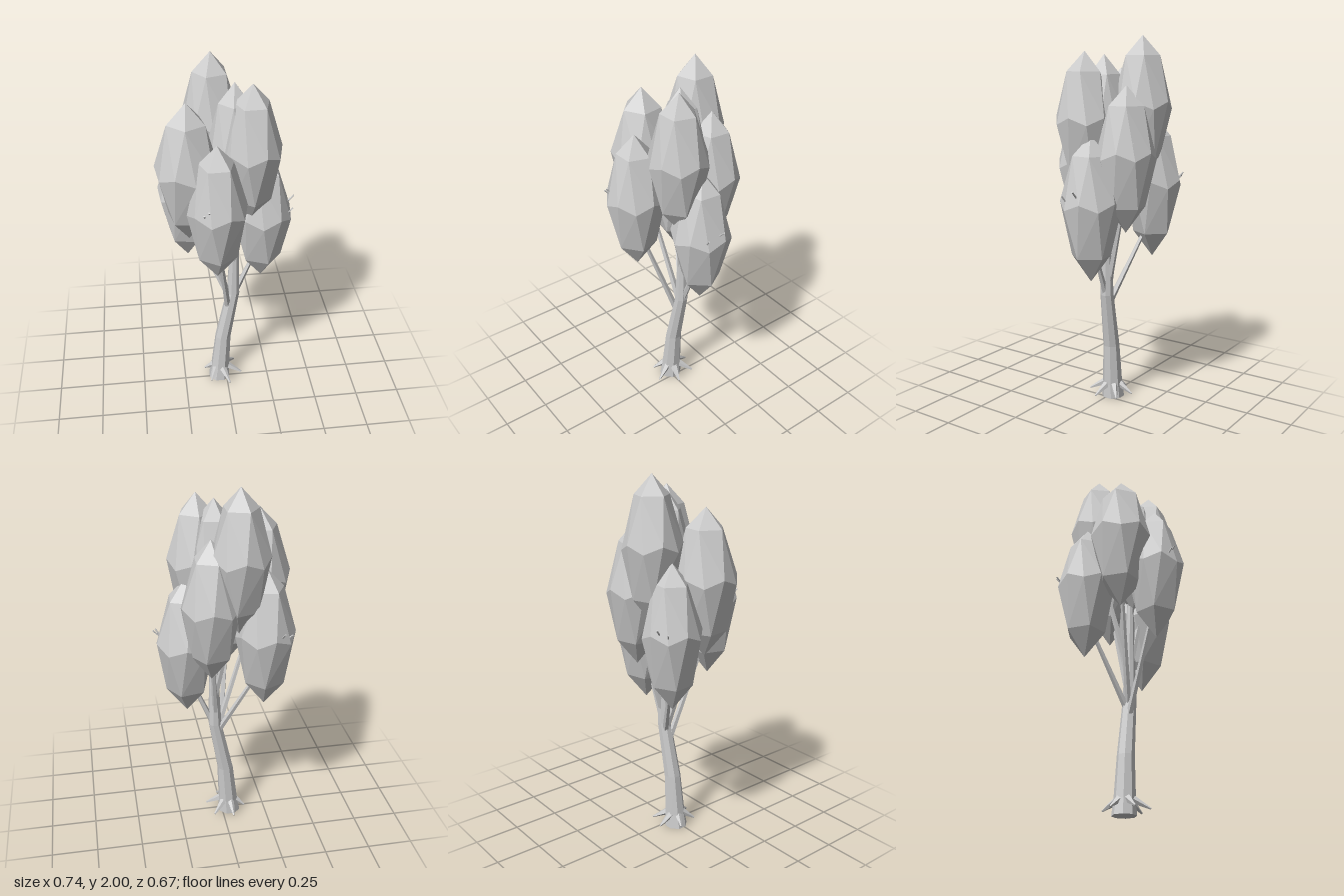
import * as THREE from 'three';
import { ConvexGeometry } from 'three/addons/geometries/ConvexGeometry.js';

const grey = new THREE.MeshStandardMaterial({ color: 0xcccccc });
grey.name = 'pale grey';
grey.flatShading = true;

const V = (p) => new THREE.Vector3(...p);

// Tapered straight limb between two points
function limb(name, a, b, r0, r1, sides = 5) {
  const from = V(a), dir = V(b).sub(from);
  const geo = new THREE.CylinderGeometry(r1, r0, dir.length(), sides);
  geo.translate(0, dir.length() / 2, 0);
  const mesh = new THREE.Mesh(geo, grey);
  mesh.name = name;
  mesh.position.copy(from);
  mesh.quaternion.setFromUnitVectors(new THREE.Vector3(0, 1, 0), dir.normalize());
  return mesh;
}

// Trunk: horizontal rings [x, y, z, radius] joined into a closed bent column
function trunk(rings, sides) {
  const pos = [], idx = [];
  for (const [x, y, z, r] of rings)
    for (let i = 0; i < sides; i++) {
      const a = ((i + 0.5) / sides) * Math.PI * 2;
      pos.push(x + r * Math.cos(a), y, z + r * Math.sin(a));
    }
  for (let j = 0; j < rings.length - 1; j++)
    for (let i = 0; i < sides; i++) {
      const a = j * sides + i, b = j * sides + ((i + 1) % sides);
      idx.push(a, a + sides, b, b, a + sides, b + sides);
    }
  const top = (rings.length - 1) * sides;
  for (let i = 1; i < sides - 1; i++) {
    idx.push(0, i, i + 1);
    idx.push(top, top + i + 1, top + i);
  }
  const geo = new THREE.BufferGeometry();
  geo.setAttribute('position', new THREE.Float32BufferAttribute(pos, 3));
  geo.setIndex(idx);
  geo.computeVertexNormals();
  const mesh = new THREE.Mesh(geo, grey);
  mesh.name = 'trunk';
  return mesh;
}

// Foliage lobe: pointed faceted bud with five-sided shoulders and a ten-sided waist
function lobe([x, y, z, r, h, yaw]) {
  const points = [new THREE.Vector3(0, h, 0), new THREE.Vector3(0, -h, 0)];
  const ring = (count, radius, height, turn, wave) => {
    for (let i = 0; i < count; i++) {
      const a = THREE.MathUtils.degToRad(yaw + turn + (i * 360) / count);
      const lift = i % 2 ? wave : -wave;
      points.push(new THREE.Vector3(
        r * radius * Math.cos(a), h * (height + lift), r * radius * Math.sin(a)));
    }
  };
  ring(5, 0.6, 0.73, 18, 0);
  ring(10, 1, 0.07, 0, 0.05);
  ring(5, 0.68, -0.64, 54, 0);
  const mesh = new THREE.Mesh(new ConvexGeometry(points), grey);
  mesh.name = 'foliageLobe';
  mesh.position.set(x, y, z);
  return mesh;
}

export function createModel() {
  const tree = new THREE.Group();
  tree.name = 'tree';

  tree.add(trunk([
    [-0.043, 0, -0.014, 0.064], [-0.036, 0.08, -0.015, 0.056],
    [-0.018, 0.31, -0.019, 0.046], [0.042, 0.62, -0.03, 0.037],
    [0.047, 0.85, -0.03, 0.029], [0.042, 1.12, -0.025, 0.021],
    [0.04, 1.4, -0.02, 0.012],
  ], 8));

  // Root spikes around the base
  const roots = new THREE.Group();
  roots.name = 'roots';
  for (let i = 0; i < 6; i++) {
    const a = (i / 6) * Math.PI * 2 + 0.25, c = Math.cos(a), s = Math.sin(a);
    roots.add(limb('rootSpike', [-0.036 + 0.03 * c, 0.085, -0.014 + 0.03 * s],
      [-0.02 + 0.112 * c, 0.033, -0.014 + 0.125 * s], 0.024, 0.005));
  }
  tree.add(roots);

  // Lobes: x, y, z, radius, half height, turn in degrees
  const lobes = [
    [-0.06, 1.62, -0.182, 0.155, 0.38, 18],
    [0.122, 1.54, 0.055, 0.155, 0.38, 33],
    [0.042, 1.525, -0.012, 0.14, 0.38, 10],
    [-0.203, 1.447, 0.045, 0.168, 0.388, 7],
    [-0.068, 1.285, 0.187, 0.155, 0.385, 34],
    [0.198, 1.115, -0.035, 0.16, 0.385, 23],
    [0.085, 1.37, -0.178, 0.157, 0.38, 22],
    [-0.2, 1.195, -0.168, 0.156, 0.385, 10],
  ];
  const foliage = new THREE.Group();
  foliage.name = 'foliage';
  lobes.forEach((l) => foliage.add(lobe(l)));
  tree.add(foliage);

  // One branch from the trunk into each outer lobe
  const starts = [
    [0.04, 0.8, -0.035], [0.045, 0.85, -0.02], null, [0.02, 0.6, -0.025],
    [0.01, 0.53, -0.015], [0.045, 0.6, -0.03], [0.04, 0.68, -0.04], [0.025, 0.57, -0.035],
  ];
  const branches = new THREE.Group();
  branches.name = 'branches';
  lobes.forEach(([x, y, z], i) => {
    if (starts[i]) branches.add(limb('branch', starts[i], [x, y - 0.15, z], 0.018, 0.009));
  });

  // Twig tips poking out of the lobes
  const twigs = [
    [[0.3, 1.16, -0.045], [0.37, 1.23, -0.045]],
    [[0.3, 1.13, 0.02], [0.35, 1.2, 0.037]],
    [[-0.25, 1.18, -0.24], [-0.315, 1.26, -0.285]],
    [[-0.24, 1.2, -0.25], [-0.267, 1.28, -0.318]],
    [[-0.13, 1.3, 0.26], [-0.147, 1.365, 0.325]],
    [[-0.11, 1.32, 0.26], [-0.122, 1.385, 0.328]],
    [[0.14, 1.4, -0.23], [0.174, 1.47, -0.275]],
    [[0.16, 1.4, -0.21], [0.202, 1.45, -0.243]],
    [[0.18, 1.58, 0.1], [0.207, 1.64, 0.128]],
  ];
  twigs.forEach(([a, b]) => branches.add(limb('twig', a, b, 0.006, 0.004)));
  tree.add(branches);

  return tree;
}
